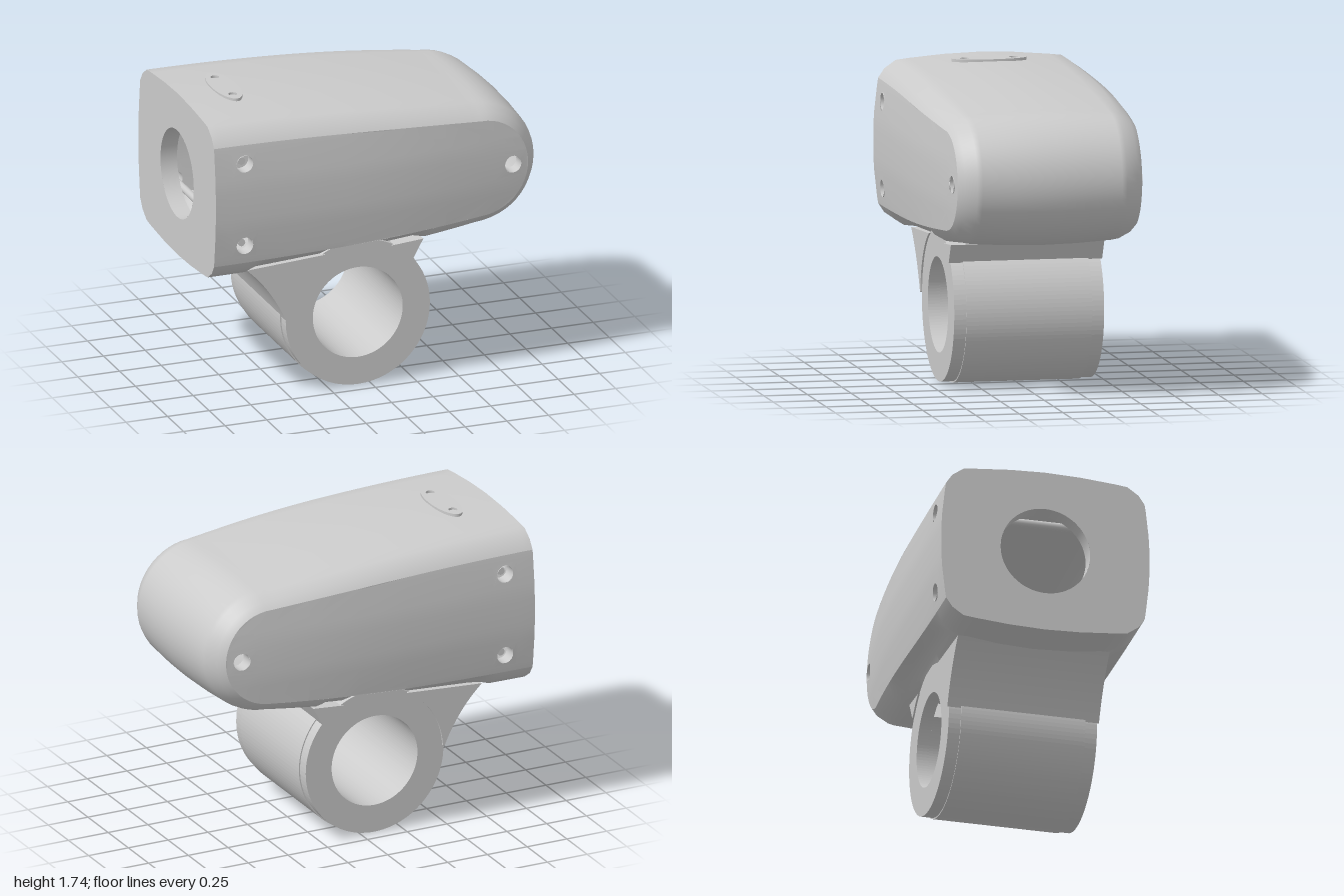
import * as THREE from 'three';
import { mergeVertices } from 'three/addons/utils/BufferGeometryUtils.js';

const MID = 1.245; // height of the body's long axis
const RING = { x: -0.08, y: 0.44, bore: 0.27 };
const NOSE_HOLE = [0.81, MID];
const BOLTS = [[-0.82, 1.49], [-0.82, 1.0]];
const HOLE_R = 0.05;
const Y_LINES = [0.8, 0.93, 1.08, 1.17, 1.32, 1.41, 1.56, 1.7];
const X_LINES = [-1.01, -0.9, -0.74, -0.5, -0.2, 0.1, 0.4, 0.7, 0.96];

const material = new THREE.MeshStandardMaterial({ color: 0xcccccc, side: THREE.DoubleSide });

function addMesh(parent, name, geometry) {
  const mesh = new THREE.Mesh(geometry, material);
  mesh.name = name;
  parent.add(mesh);
  return mesh;
}

// Side outline: tapering bottom edge, round nose, tapering top edge
function outline(hBack, hNose) {
  const pts = [];
  const edge = (i, s) => {
    const t = i / 36;
    return new THREE.Vector2(-1 + 1.62 * t, MID + s * (hBack + (hNose - hBack) * t * t));
  };
  for (let i = 0; i < 36; i++) pts.push(edge(i, -1));
  for (let i = 0; i <= 24; i++) {
    const a = -Math.PI / 2 + (Math.PI * i) / 24;
    pts.push(new THREE.Vector2(0.62 + hNose * Math.cos(a), MID + hNose * Math.sin(a)));
  }
  for (let i = 35; i >= 0; i--) pts.push(edge(i, 1));
  return pts;
}
const OUTER = outline(0.485, 0.38);
const INNER = outline(0.355, 0.285);

// Half width of the gently bulged side wall
function sideZ(x, y) {
  const t = Math.max(0, (x + 0.2) / 1.1), v = (y - MID) / 0.36;
  return 0.605 - 0.075 * t * t - 0.03 * v * v;
}

// Cross-section rows from the side edge to the centre: [inset fraction, z]
function section(i) {
  const p = INNER[i], zs = sideZ(p.x, p.y);
  let rows = [[1, zs], [0.6, zs - 0.035], [0.25, zs - 0.1], [0.18, 0.4], [0.05, 0.2], [0, 0]];
  if (i < 36) { // hollowed arch above the clamp ring
    const w = Math.sqrt(Math.max(0, 1 - ((p.x + 0.22) / 0.52) ** 2));
    rows[1] = [THREE.MathUtils.lerp(0.6, 0.95, w), rows[1][1] - 0.025 * w];
    rows[2] = [THREE.MathUtils.lerp(0.25, 0.82, w), THREE.MathUtils.lerp(rows[2][1], 0.44, w)];
  }
  rows = rows.concat(rows.slice(0, -1).reverse().map(([f, z]) => [f, -z]));
  return rows.map(([f, z]) => {
    const q = OUTER[i].clone().lerp(p, f);
    return new THREE.Vector3(q.x, q.y, z);
  });
}

function wrapGeometry() {
  const pos = [], index = [], n = 11;
  OUTER.forEach((_, i) => section(i).forEach((v) => pos.push(v.x, v.y, v.z)));
  for (let i = 0; i < OUTER.length - 1; i++) {
    const passage = i < 36 && OUTER[i].x > -0.32 && OUTER[i + 1].x < 0.16;
    for (let j = 0; j < n - 1; j++) {
      if (passage && j >= 3 && j <= 6) continue; // opening into the ring
      const a = i * n + j, b = a + n;
      index.push(a, a + 1, b, b, a + 1, b + 1);
    }
  }
  const g = new THREE.BufferGeometry();
  g.setAttribute('position', new THREE.Float32BufferAttribute(pos, 3));
  g.setIndex(index);
  g.computeVertexNormals();
  return g;
}

// Keep the part of a convex polygon where sign * (axis - limit) >= 0
function clip(poly, axis, limit, sign) {
  const out = [];
  poly.forEach((a, i) => {
    const b = poly[(i + 1) % poly.length];
    const da = sign * (a[axis] - limit), db = sign * (b[axis] - limit);
    if (da >= 0) out.push(a);
    if (da * db < 0) out.push(a.clone().lerp(b, da / (da - db)));
  });
  return out;
}

// Side wall: cells cut from the outline, pierced by holes, then bulged
function sideGeometry() {
  const shapes = [], holes = [NOSE_HOLE, ...BOLTS];
  for (let i = 0; i < X_LINES.length - 1; i++) {
    for (let j = 0; j < Y_LINES.length - 1; j++) {
      const [x0, x1, y0, y1] = [X_LINES[i], X_LINES[i + 1], Y_LINES[j], Y_LINES[j + 1]];
      let poly = clip(clip(INNER, 'x', x0, 1), 'x', x1, -1);
      poly = clip(clip(poly, 'y', y0, 1), 'y', y1, -1);
      if (poly.length < 3) continue;
      const shape = new THREE.Shape(poly);
      for (const [x, y] of holes) {
        if (x > x0 && x < x1 && y > y0 && y < y1) {
          shape.holes.push(new THREE.Path().absarc(x, y, HOLE_R, 0, Math.PI * 2, true));
        }
      }
      shapes.push(shape);
    }
  }
  let g = new THREE.ShapeGeometry(shapes, 16);
  const p = g.attributes.position;
  for (let i = 0; i < p.count; i++) p.setZ(i, sideZ(p.getX(i), p.getY(i)));
  g.deleteAttribute('uv');
  g.deleteAttribute('normal');
  g = mergeVertices(g, 1e-5);
  g.computeVertexNormals();
  return g;
}

// Flat back wall with the round opening
function backGeometry() {
  const flat = (v) => new THREE.Vector2(v.z, v.y);
  const mids = Y_LINES.slice(1, -1);
  const pts = [
    ...section(OUTER.length - 1).map(flat),
    ...mids.slice().reverse().map((y) => new THREE.Vector2(-sideZ(-1, y), y)),
    ...section(0).reverse().map(flat),
    ...mids.map((y) => new THREE.Vector2(sideZ(-1, y), y)),
  ];
  const shape = new THREE.Shape(pts);
  shape.holes.push(new THREE.Path().absarc(0, MID, 0.26, 0, Math.PI * 2, true));
  return new THREE.ShapeGeometry(shape, 32).rotateY(-Math.PI / 2).translate(-1, 0, 0);
}

function extrude(shape, z0, z1) {
  const g = new THREE.ExtrudeGeometry(shape, { depth: z1 - z0, bevelEnabled: false, curveSegments: 48 });
  return g.translate(0, 0, z0);
}

export function createModel() {
  const model = new THREE.Group();
  model.name = 'clampHousing';

  // Hollow body
  const body = new THREE.Group();
  body.name = 'body';
  model.add(body);
  addMesh(body, 'bodyWrap', wrapGeometry());
  addMesh(body, 'backWall', backGeometry());
  const side = sideGeometry();
  addMesh(body, 'leftSideWall', side);
  addMesh(body, 'rightSideWall', side).scale.z = -1;
  const lip = addMesh(body, 'backOpeningLip', new THREE.CylinderGeometry(0.26, 0.26, 0.1, 48, 1, true));
  lip.rotation.z = Math.PI / 2;
  lip.position.set(-0.95, MID, 0);

  // Hole sleeves and the cross bolts inside them
  for (const [x, y] of [NOSE_HOLE, ...BOLTS]) {
    for (const s of [-1, 1]) {
      const sleeve = addMesh(body, 'holeSleeve', new THREE.CylinderGeometry(HOLE_R, HOLE_R, 0.08, 20, 1, true));
      sleeve.rotation.x = Math.PI / 2;
      sleeve.position.set(x, y, s * (sideZ(x, y) - 0.04));
    }
  }
  for (const [x, y] of BOLTS) {
    const bolt = addMesh(body, 'crossBolt', new THREE.CylinderGeometry(0.022, 0.022, 1.08, 12));
    bolt.rotation.x = Math.PI / 2;
    bolt.position.set(x, y, 0);
  }

  // Oval plate on top with two small holes
  const plate = new THREE.Shape().absellipse(-0.72, 0, 0.075, 0.215, 0, Math.PI * 2);
  for (const z of [-0.14, 0.14]) plate.holes.push(new THREE.Path().absarc(-0.72, z, 0.025, 0, Math.PI * 2, true));
  addMesh(model, 'topPlate', extrude(plate, 1.7, 1.736).rotateX(-Math.PI / 2).translate(0, 0.0, 0));

  // Clamp ring: closed end bands and a middle band open towards the body
  const band = new THREE.Shape().absarc(RING.x, RING.y, 0.433, 0, Math.PI * 2);
  band.holes.push(new THREE.Path().absarc(RING.x, RING.y, RING.bore, 0, Math.PI * 2, true));
  addMesh(model, 'ringFrontBand', extrude(band, 0.36, 0.43));
  addMesh(model, 'ringBackBand', extrude(band, -0.43, -0.36));
  const deg = Math.PI / 180;
  const open = new THREE.Shape();
  open.absarc(RING.x, RING.y, 0.44, 125 * deg, 415 * deg, false);
  open.absarc(RING.x, RING.y, RING.bore, 415 * deg, 125 * deg, true);
  addMesh(model, 'ringMiddleBand', extrude(open, -0.36, 0.36));

  // Wedges joining ring and body
  const rear = new THREE.Shape().moveTo(-0.75, 0.785);
  rear.quadraticCurveTo(-0.6, 0.65, -0.515, 0.45);
  rear.absarc(RING.x, RING.y, 0.425, 178 * deg, 118 * deg, true);
  addMesh(model, 'rearWedge', extrude(rear, -0.44, 0.44));
  const front = new THREE.Shape().moveTo(0.31, 0.83);
  front.lineTo(0.12, 0.815);
  front.absarc(RING.x, RING.y, 0.425, 62 * deg, 43 * deg, true);
  front.lineTo(0.25, 0.72);
  addMesh(model, 'frontWedge', extrude(front, -0.44, 0.44));

  return model;
}
